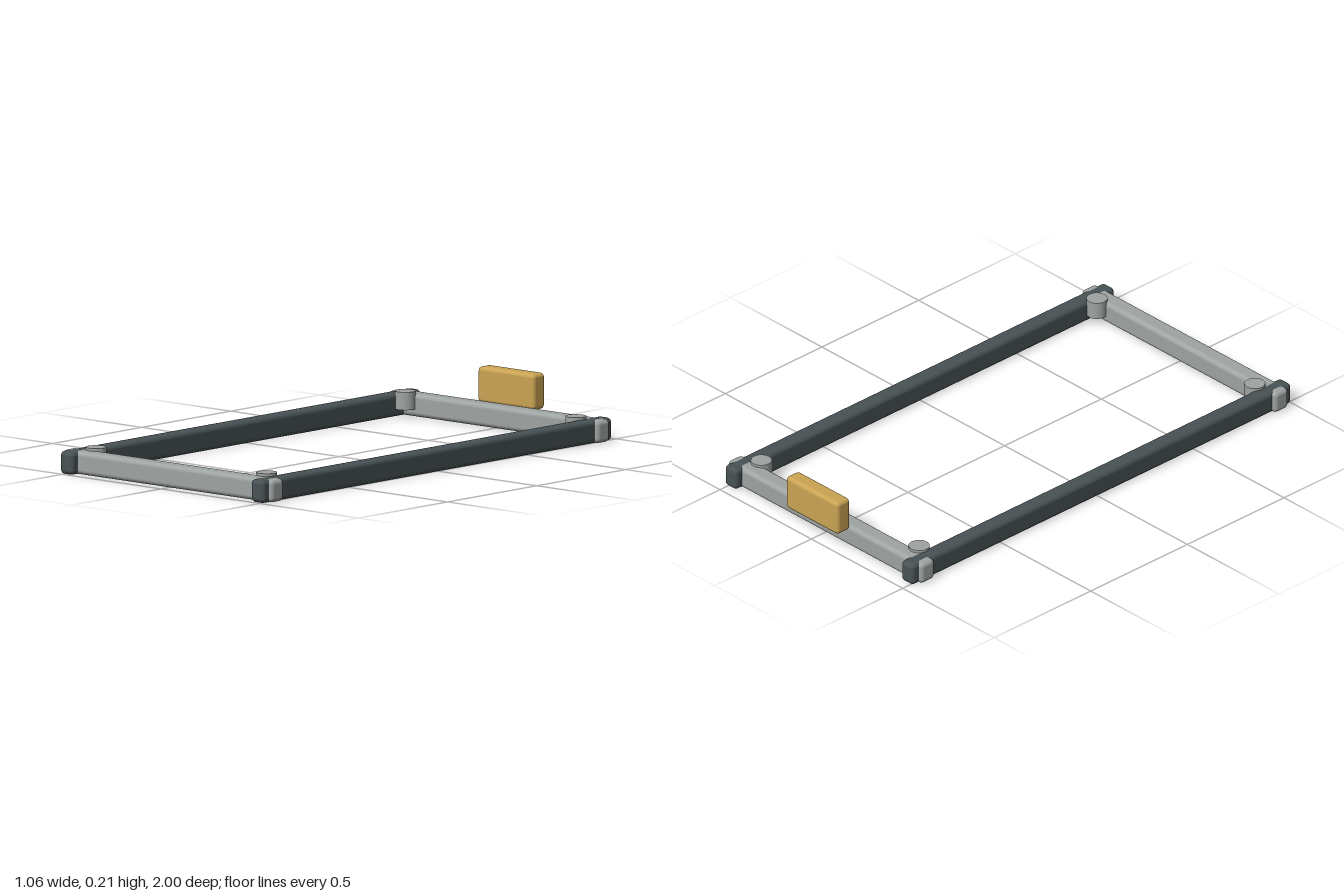
import * as THREE from 'three';
import { RoundedBoxGeometry } from 'three/addons/geometries/RoundedBoxGeometry.js';

export function createModel() {
  const model = new THREE.Group();
  model.name = 'rectangularFrame';

  const material = (name, color) => {
    const m = new THREE.MeshStandardMaterial({ color });
    m.name = name;
    return m;
  };
  const darkGrey = material('dark grey', 0x485254);
  const lightGrey = material('light grey', 0x9fa5a3);
  const gold = material('gold', 0xcaa453);

  const add = (name, geometry, mat, x, y, z) => {
    const mesh = new THREE.Mesh(geometry, mat);
    mesh.name = name;
    mesh.position.set(x, y, z);
    model.add(mesh);
  };

  const midZ = 0.0175; // middle of the frame, offset by the plate at the back
  const height = 0.088;
  const railGeo = new RoundedBoxGeometry(0.066, height, 1.965, 3, 0.018);
  const barGeo = new RoundedBoxGeometry(1.064, height - 0.001, 0.073, 3, 0.018);
  const pegGeo = new THREE.CylinderGeometry(0.04, 0.04, 0.068, 20);

  // Long side rails
  for (const side of [1, -1]) {
    add(side > 0 ? 'leftRail' : 'rightRail', railGeo, darkGrey, side * 0.483, height / 2, midZ);
  }

  // Cross bars, with a round peg in each inner corner
  for (const end of [1, -1]) {
    const endName = end > 0 ? 'front' : 'back';
    add(endName + 'Bar', barGeo, lightGrey, 0, height / 2, midZ + end * 0.915);
    for (const side of [1, -1]) {
      add(endName + (side > 0 ? 'Left' : 'Right') + 'Peg', pegGeo, lightGrey,
        side * 0.432, 0.064, midZ + end * 0.868);
    }
  }

  // Upright plate on the back bar
  add('backPlate', new RoundedBoxGeometry(0.286, 0.138, 0.068, 3, 0.016), gold, 0, 0.144, -0.966);

  return model;
}
